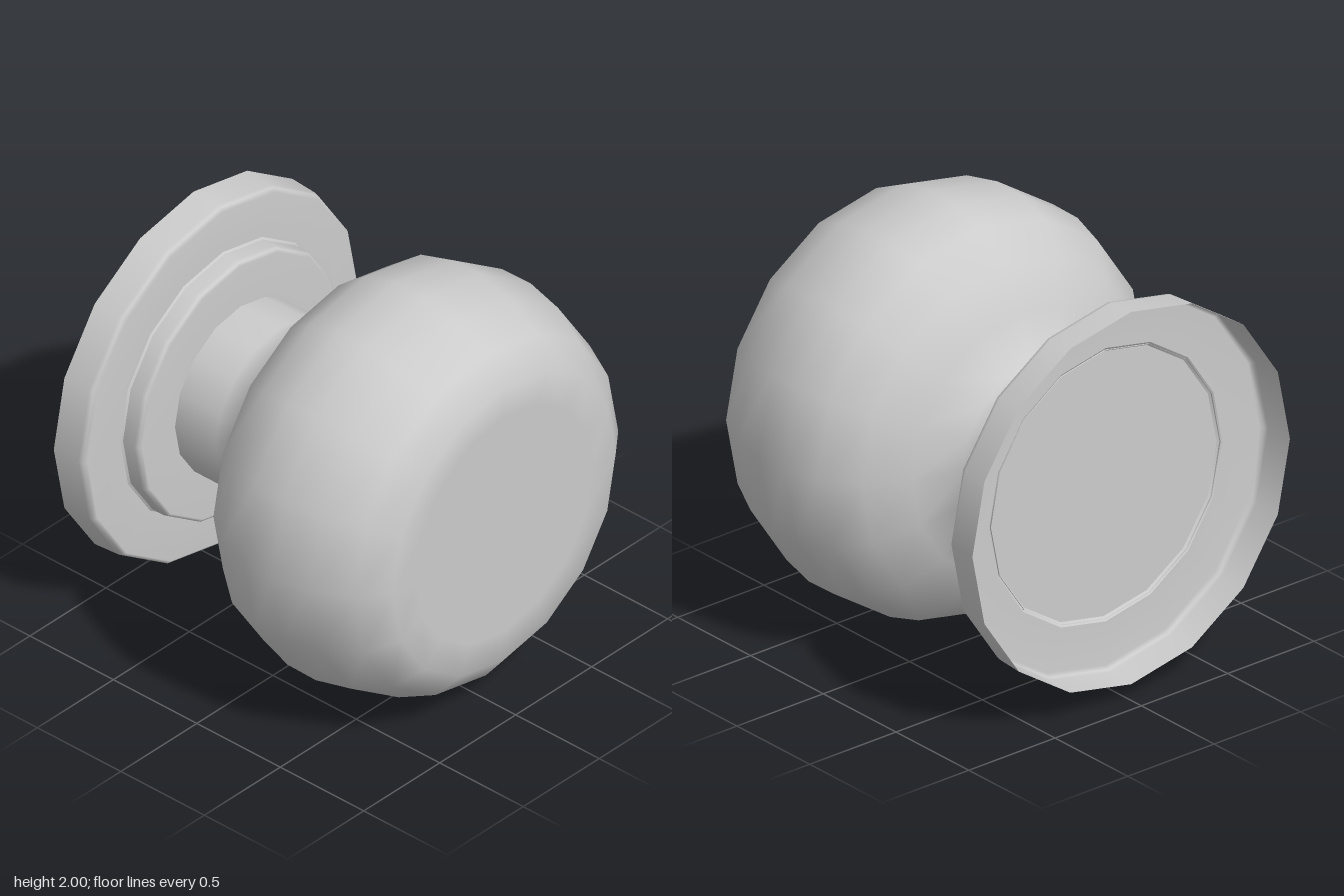
import * as THREE from 'three';

const SIDES = 16;
const material = new THREE.MeshStandardMaterial({ color: 0xcccccc, side: THREE.DoubleSide });

// Turns a [radius, z] profile, listed from back to front, around the z axis
function turned(name, profile) {
  const points = profile.map(([r, z]) => new THREE.Vector2(r, z));
  const geometry = new THREE.LatheGeometry(points, SIDES);
  geometry.rotateX(Math.PI / 2);
  const mesh = new THREE.Mesh(geometry, material);
  mesh.name = name;
  mesh.position.y = 1;
  return mesh;
}

export function createModel() {
  const group = new THREE.Group();
  group.name = 'doorKnob';

  // Wall plate: a thin shell, hollow at the back, with a softened front edge
  group.add(turned('wallPlate', [
    [0.92, -0.93], [0.912, -0.79], [0.907, -0.77], [0.89, -0.756], [0.675, -0.755],
  ]));

  // Back of the collar, set slightly into the hollow plate
  group.add(turned('collarBackEdge', [[0.655, -0.74], [0.675, -0.755]]));
  group.add(turned('collarBack', [[0, -0.74], [0.655, -0.74]]));

  // Stepped collar in front of the plate
  group.add(turned('collar', [
    [0.665, -0.755], [0.665, -0.68], [0.66, -0.66], [0.645, -0.651], [0.43, -0.65],
  ]));

  // Neck and rounded grip with a flat front, in one sweep
  group.add(turned('neckAndGrip', [
    [0.43, -0.65], [0.43, -0.41], [0.415, -0.26], [0.63, -0.17], [0.825, -0.06],
    [0.95, 0.1], [0.997, 0.275], [1, 0.445], [0.96, 0.635], [0.87, 0.822],
    [0.735, 0.93], [0.58, 0.93], [0, 0.93],
  ]));

  return group;
}
